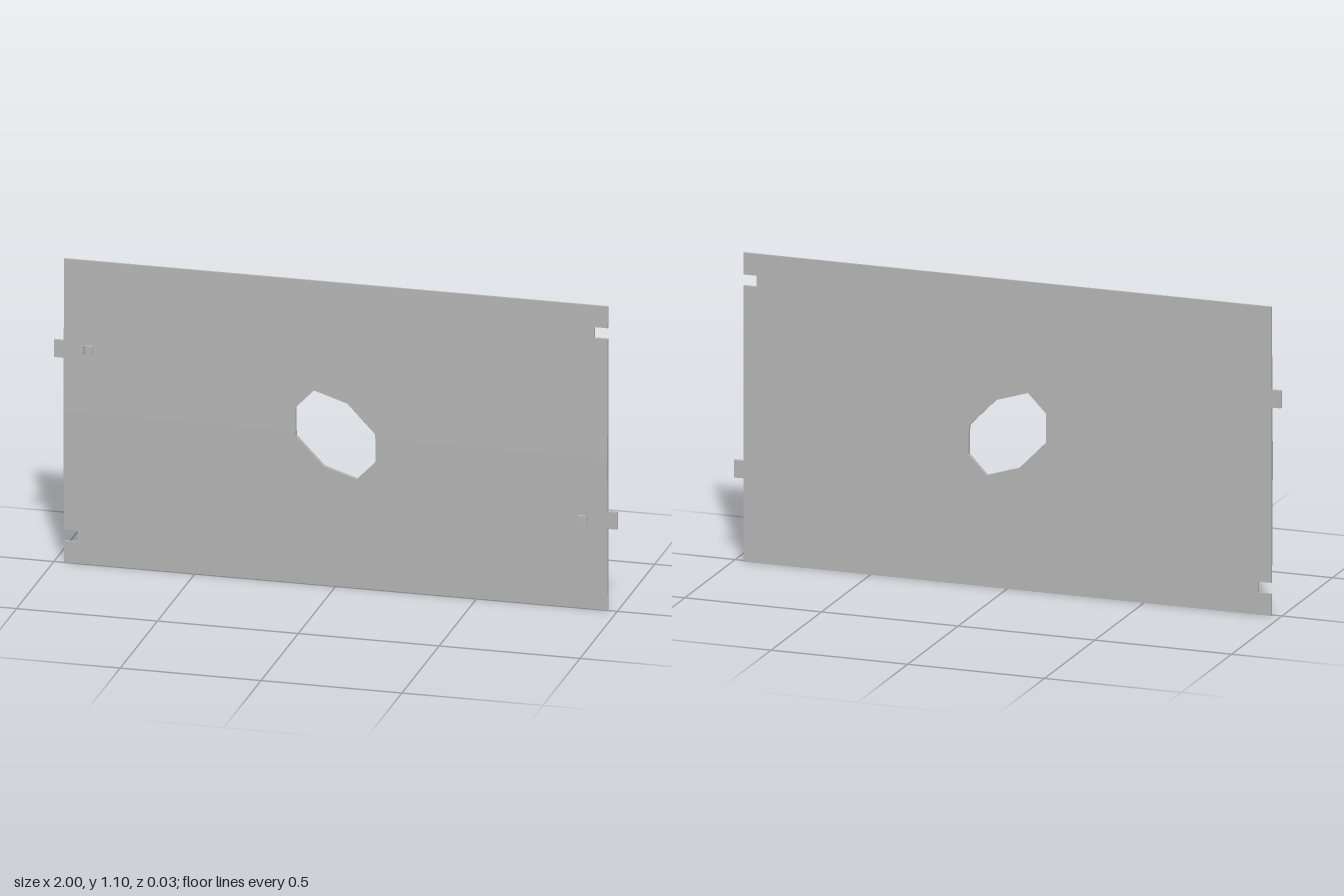
import * as THREE from 'three';

const MID = 0.553;   // height of the fold across the panel
const BACK = -0.0125;

// front face slopes gently back from the central fold
const frontZ = (y) => 0.004 - 0.009 * Math.abs(y) / 0.552;

// Half panel above the fold, counter-clockwise, origin at the panel centre
const outline = [
  [0.965, 0], [0.965, 0.434], [0.917, 0.434], [0.917, 0.474], [0.965, 0.474], // notch
  [0.965, 0.552], [-0.965, 0.552],
  [-0.965, 0.255], [-1, 0.255], [-1, 0.193], [-0.965, 0.193],                 // edge tab
  [-0.965, 0], [-0.142, 0],
  [-0.142, 0.087], [-0.076, 0.155], [0.042, 0.118], [0.141, 0.016], [0.141, 0], // half opening
].map(([x, y]) => new THREE.Vector2(x, y));

function halfPanelGeometry() {
  const pos = [];
  const put = (p, front) => pos.push(p.x, p.y, front ? frontZ(p.y) : BACK);
  // front and back faces
  for (const [a, b, c] of THREE.ShapeUtils.triangulateShape(outline, [])) {
    for (const i of [a, b, c]) put(outline[i], true);
    for (const i of [a, c, b]) put(outline[i], false);
  }
  // rim walls, leaving the seam at the fold open
  outline.forEach((a, i) => {
    const b = outline[(i + 1) % outline.length];
    if (a.y === 0 && b.y === 0) return;
    put(a, false); put(b, false); put(b, true);
    put(a, false); put(b, true); put(a, true);
  });
  const g = new THREE.BufferGeometry();
  g.setAttribute('position', new THREE.Float32BufferAttribute(pos, 3));
  g.computeVertexNormals();
  return g;
}

// Small catch with a bevel on its outer side, profile in x and z
function catchGeometry() {
  const profile = new THREE.Shape([
    [-0.896, -0.004], [-0.862, -0.004], [-0.862, 0.0125], [-0.882, 0.0125], [-0.891, 0.008],
  ].map(([x, z]) => new THREE.Vector2(x, z)));
  const g = new THREE.ExtrudeGeometry(profile, { depth: 0.034, bevelEnabled: false });
  g.rotateX(Math.PI / 2);
  g.translate(0, 0.246, 0);
  return g;
}

export function createModel() {
  const model = new THREE.Group();
  model.name = 'slottedPanel';
  const grey = new THREE.MeshStandardMaterial({ color: 0xb4b4b4, flatShading: true });
  grey.name = 'grey';

  const panelGeo = halfPanelGeometry();
  const catchGeo = catchGeometry();

  // the lower half is the upper half turned half a turn about the centre
  ['upper', 'lower'].forEach((side, i) => {
    const half = new THREE.Group();
    half.name = side + 'Half';
    const panel = new THREE.Mesh(panelGeo, grey);
    panel.name = side + 'Panel';
    const latch = new THREE.Mesh(catchGeo, grey);
    latch.name = side + 'Catch';
    half.add(panel, latch);
    half.position.y = MID;
    half.rotation.z = i * Math.PI;
    model.add(half);
  });
  return model;
}
